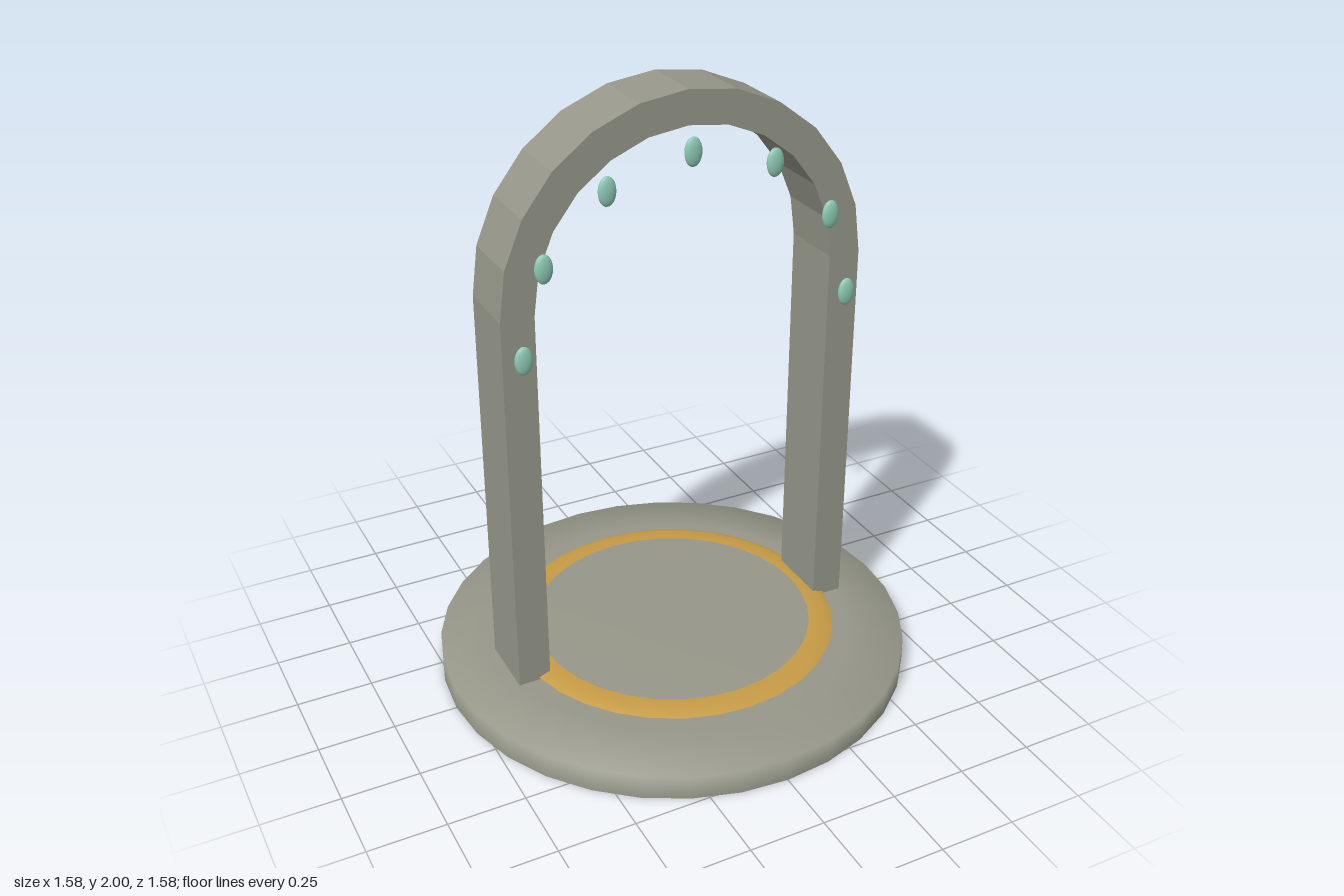
import * as THREE from 'three';

const V = (x, y) => new THREE.Vector2(x, y);

export function createModel() {
  const stone = new THREE.MeshStandardMaterial({ color: 0x969789, side: THREE.DoubleSide });
  stone.name = 'stone';
  const gold = new THREE.MeshStandardMaterial({ color: 0xc69b45, side: THREE.DoubleSide });
  gold.name = 'gold';
  const jade = new THREE.MeshStandardMaterial({ color: 0x8ecab5 });
  jade.name = 'jade';

  const model = new THREE.Group();
  model.name = 'archPortal';
  const add = (name, geometry, material) => {
    const mesh = new THREE.Mesh(geometry, material);
    mesh.name = name;
    model.add(mesh);
    return mesh;
  };

  // Round plinth with a gently sloping rim, hollow underneath
  add('base', new THREE.LatheGeometry(
    [V(0.79, 0), V(0.79, 0.082), V(0.6, 0.103), V(0, 0.103)], 32), stone);

  // Thin floor ring with a sloping outer edge
  add('floorRing', new THREE.LatheGeometry(
    [V(0.55, 0.111), V(0.52, 0.123), V(0.47, 0.123)], 32), gold);

  // Arch: two legs joined by a faceted half circle
  const spring = 1.393, outer = 0.607, inner = 0.5, foot = 0.1, depth = 0.22;
  const profile = new THREE.Shape();
  profile.moveTo(outer, foot);
  profile.lineTo(outer, spring);
  profile.absarc(0, spring, outer, 0, Math.PI, false);
  profile.lineTo(-outer, foot);
  profile.lineTo(-inner, foot);
  profile.lineTo(-inner, spring);
  profile.absarc(0, spring, inner, Math.PI, 0, true);
  profile.lineTo(inner, foot);
  const arch = new THREE.ExtrudeGeometry(profile, { depth, bevelEnabled: false, curveSegments: 6 });
  arch.translate(0, 0, -depth / 2);
  add('arch', arch, stone);

  // Flattened gems floating in front of the arch
  const gem = new THREE.SphereGeometry(1, 16, 12);
  const spots = [[0, 1.822], [0.275, 1.747], [0.477, 1.547], [0.55, 1.273]];
  for (const [x, y] of spots) {
    for (const side of x ? [1, -1] : [1]) {
      const mesh = add('gem', gem, jade);
      mesh.position.set(side * x, y, 0.137);
      mesh.scale.set(0.029, 0.046, 0.014);
    }
  }
  return model;
}
